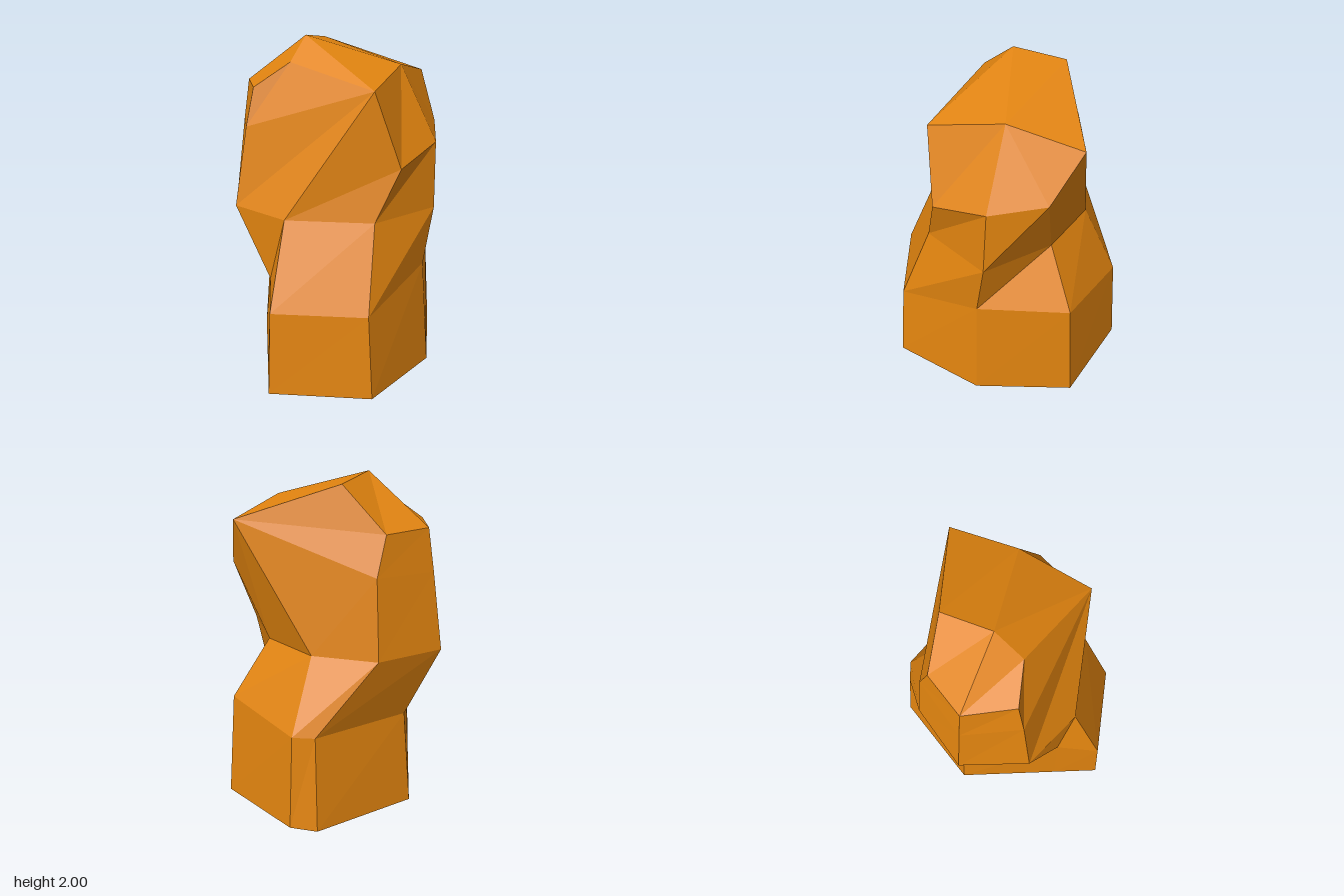
import * as THREE from 'three';

export function createModel() {
  const rockOrange = new THREE.MeshStandardMaterial({ color: 0xe0830f });
  const V = (x, y, z) => new THREE.Vector3(x, y, z);

  // Eight-sided cross-sections, counterclockwise from the front, bottom to top
  const rings = [
    [V(-0.08, 0, 0.75), V(0.5, 0, 0.57), V(0.66, 0, -0.01), V(0.5, 0, -0.59),
      V(-0.08, 0, -0.75), V(-0.24, 0, -0.7), V(-0.53, 0, -0.1), V(-0.22, 0, 0.485)],
    [V(-0.08, 0.5, 0.71), V(0.46, 0.5, 0.54), V(0.61, 0.65, -0.01), V(0.47, 0.64, -0.55),
      V(-0.08, 0.57, -0.71), V(-0.2, 0.57, -0.65), V(-0.48, 0.58, -0.1), V(-0.2, 0.6, 0.46)],
    [V(-0.08, 1, 0.5), V(0.42, 1, 0.35), V(0.65, 1, -0.07), V(0.31, 1, -0.38),
      V(-0.08, 1, -0.5), V(-0.46, 1, -0.39), V(-0.665, 1, -0.01), V(-0.47, 1, 0.37)],
    [V(0.395, 1.75, 0.32), V(0.54, 1.31, 0.26), V(0.64, 1.4, -0.09), V(0.54, 1.46, -0.41),
      V(0.4, 1.75, -0.56), V(-0.42, 1.47, -0.35), V(-0.6, 1.46, -0.01), V(-0.42, 1.48, 0.3)],
  ];

  const pos = [];
  // Planar facet, corners counterclockwise from outside
  const face = (...p) => {
    for (let i = 1; i < p.length - 1; i++) {
      for (const v of [p[0], p[i], p[i + 1]]) pos.push(v.x, v.y, v.z);
    }
  };

  // Sides
  for (let r = 0; r < 3; r++) {
    for (let i = 0; i < 8; i++) {
      const j = (i + 1) % 8;
      face(rings[r][i], rings[r][j], rings[r + 1][j], rings[r + 1][i]);
    }
  }

  // Underside
  face(...[...rings[0]].reverse());

  // Chiselled crown
  const [a, b, c, d, e, f, g, h] = rings[3];
  const peak = V(-0.16, 2, 0);
  const frontTip = V(-0.18, 1.86, 0.18);
  const sideTip = V(0.4, 1.84, -0.125);
  const backTip = V(-0.17, 1.96, -0.31);
  const backCorner = V(-0.43, 1.7, -0.27);
  const sideCorner = V(-0.56, 1.71, -0.01);
  const frontCorner = V(-0.39, 1.71, 0.25);
  face(a, sideTip, peak, frontTip);
  face(sideTip, e, backTip, peak);
  face(peak, backTip, backCorner, sideCorner);
  face(sideCorner, frontCorner, frontTip, peak);
  face(h, a, frontTip, frontCorner);
  face(g, h, frontCorner, sideCorner);
  face(f, g, sideCorner, backCorner);
  face(e, f, backCorner, backTip);
  face(sideTip, a, b, c);
  face(sideTip, c, d, e);

  // Unshared corners give each facet its own flat normal
  const geometry = new THREE.BufferGeometry();
  geometry.setAttribute('position', new THREE.Float32BufferAttribute(pos, 3));
  geometry.computeVertexNormals();

  const rock = new THREE.Mesh(geometry, rockOrange);
  rock.name = 'rock';
  const group = new THREE.Group();
  group.name = 'rockPillar';
  group.add(rock);
  return group;
}
